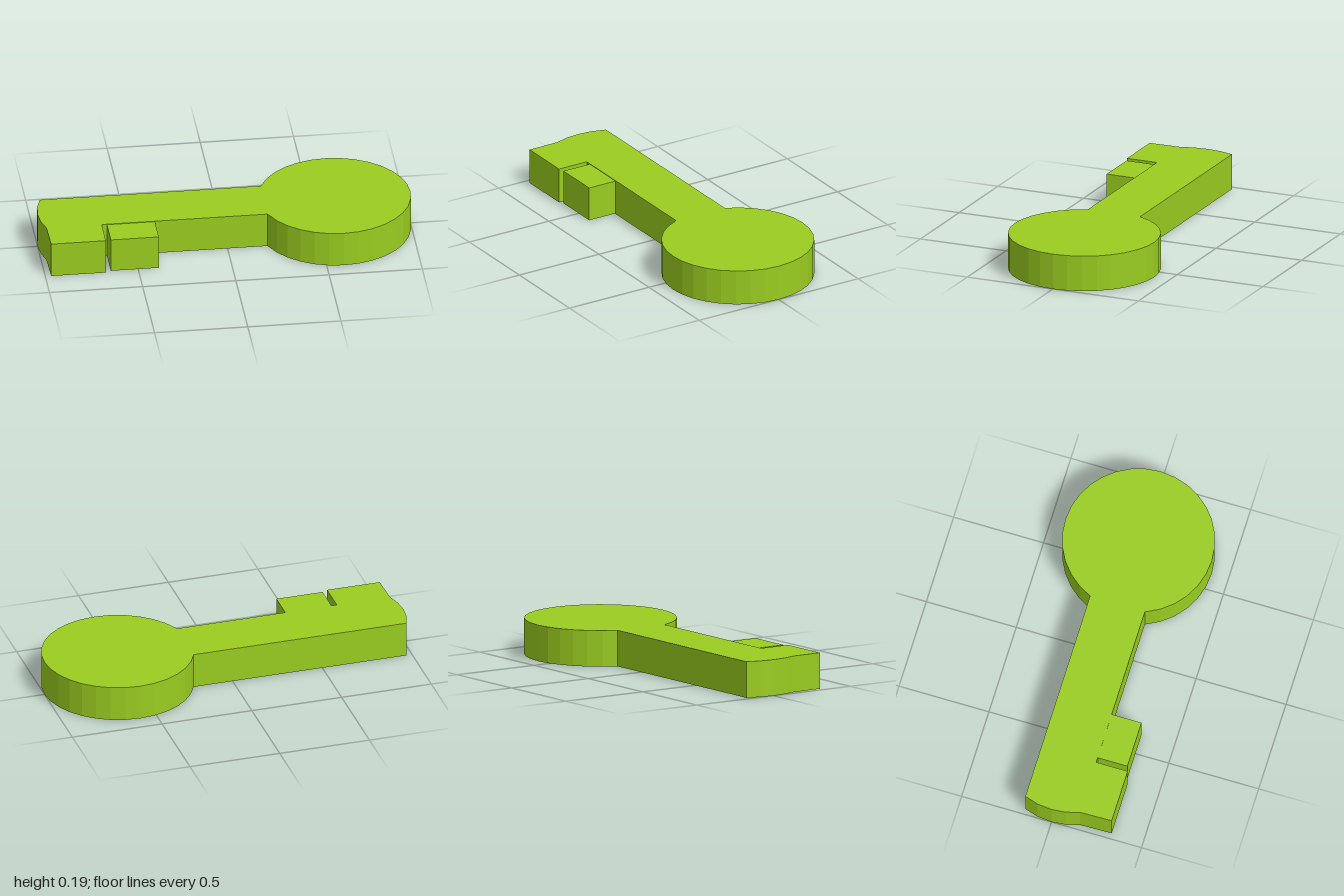
import * as THREE from 'three';

const HEIGHT = 0.195;
const R = 0.407;      // radius of the bow and of the rounded tip
const CX = 0.593;     // distance of both circle centres from the middle
const BACK = -0.155;  // z of the shaft's back edge
const FRONT = 0.15;   // z of the shaft's front edge
const STEP = Math.PI / 16;

export function createModel() {
  const green = new THREE.MeshStandardMaterial({ color: 0x9acd20 });
  green.name = 'lime green';

  const group = new THREE.Group();
  group.name = 'key';

  // Outlines are given as [x, z] seen from above and extruded upwards
  const addPlate = (name, points, y0, y1) => {
    const shape = new THREE.Shape(points.map(([x, z]) => new THREE.Vector2(x, -z)));
    const geometry = new THREE.ExtrudeGeometry(shape, { depth: y1 - y0, bevelEnabled: false });
    geometry.rotateX(-Math.PI / 2);
    geometry.translate(0, y0, 0);
    const mesh = new THREE.Mesh(geometry, green);
    mesh.name = name;
    group.add(mesh);
  };
  const circleX = (z) => Math.sqrt(R * R - z * z);

  // Round bow, shaft, rounded tip and the end tooth in one outline
  const outline = [[CX - circleX(FRONT), FRONT]];
  for (let i = -14; i <= 14; i++) {
    const a = -i * STEP;
    const p = [CX + R * Math.cos(a), R * Math.sin(a)];
    if (p[0] > CX || Math.abs(p[1]) > 0.156) outline.push(p);
  }
  outline.push([CX - circleX(BACK), BACK], [-CX - circleX(BACK), BACK]);
  for (let i = -1; i <= 1; i++) {
    outline.push([-CX - R * Math.cos(i * STEP), R * Math.sin(i * STEP)]);
  }
  outline.push(
    [-CX - circleX(FRONT), FRONT], [-0.968, 0.325],
    [-0.675, 0.325], [-0.675, FRONT]
  );
  addPlate('keyBody', outline, 0, HEIGHT);

  // Second tooth, a touch thinner than the body
  addPlate('innerTooth', [[-0.647, 0.14], [-0.647, 0.315], [-0.39, 0.315], [-0.39, 0.14]], 0.003, HEIGHT - 0.003);

  return group;
}
